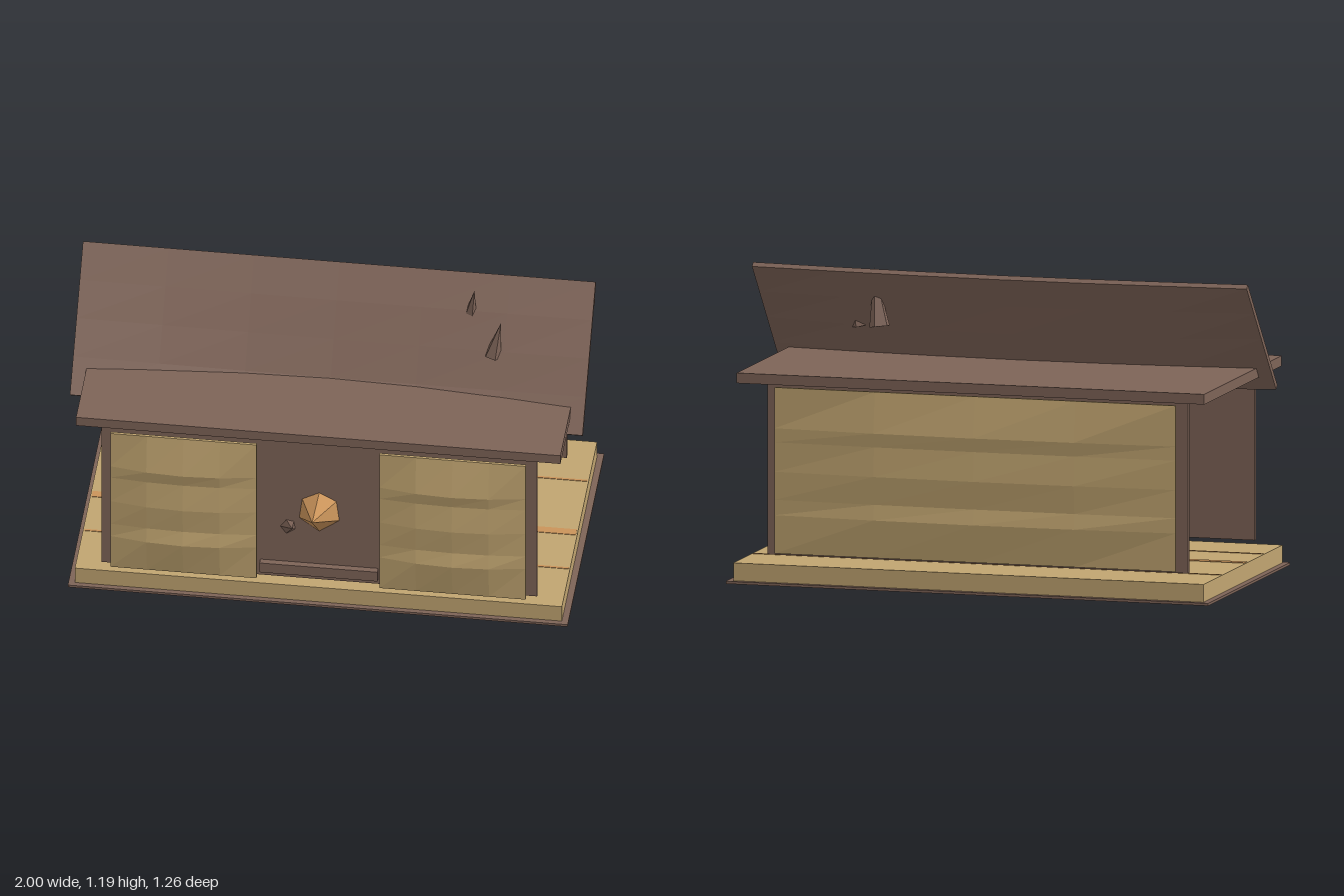
import * as THREE from 'three';

export function createModel() {
  const model = new THREE.Group();
  model.name = 'shelter';

  const mat = (name, color) => {
    const m = new THREE.MeshStandardMaterial({ color, flatShading: true });
    m.name = name;
    return m;
  };
  const brown = mat('dark wood', 0x7d6357);
  const tan = mat('straw', 0xc0a470);
  const orange = mat('orange wood', 0xc9935a);

  const add = (name, geo, material) => {
    const mesh = new THREE.Mesh(geo, material);
    mesh.name = name;
    model.add(mesh);
    return mesh;
  };

  // Box given by its extents on each axis
  const box = (name, material, [x0, x1], [y0, y1], [z0, z1]) => {
    const g = new THREE.BoxGeometry(x1 - x0, y1 - y0, z1 - z0);
    g.translate((x0 + x1) / 2, (y0 + y1) / 2, (z0 + z1) / 2);
    return add(name, g, material);
  };

  // Base, floor, walls and flat roof
  box('basePlate', brown, [-0.975, 0.975], [0, 0.01], [-0.63, 0.465]);
  box('floor', tan, [-0.95, 0.95], [0.01, 0.08], [-0.61, 0.445]);
  box('frontWall', brown, [-0.85, 0.85], [0.1, 0.77], [0.402, 0.418]);
  box('backWall', brown, [-0.85, 0.85], [0.1, 0.77], [-0.484, -0.468]);
  box('flatRoof', brown, [-0.945, 0.945], [0.78, 0.82], [-0.585, 0.45]);
  box('doorStep', brown, [-0.23, 0.23], [0.13, 0.175], [0.374, 0.443]);

  // Thin stripes on the floor
  for (const [z, w] of [[-0.03, 0.035], [0.2, 0.01], [-0.36, 0.01]]) {
    box('floorStripe', orange, [-0.945, 0.945], [0.08, 0.082], [z - w / 2, z + w / 2]);
  }

  // Wall panels with three soft horizontal swells, fading to the ends
  const rows = [0.11, 0.26, 0.32, 0.43, 0.545, 0.6, 0.76];
  const swell = [0, 0.03, 0.016, 0.028, 0.016, 0.03, 0];
  const columns = [0, 0.25, 0.5, 0.75, 1];
  const fade = [0, 0.75, 1, 0.75, 0];
  const panel = (name, width, x, z, back) => {
    const g = new THREE.BoxGeometry(1, 1, 1, columns.length - 1, rows.length - 1, 1);
    const p = g.attributes.position;
    for (let i = 0; i < p.count; i++) {
      const c = Math.round((p.getX(i) + 0.5) * (columns.length - 1));
      const r = Math.round((p.getY(i) + 0.5) * (rows.length - 1));
      const depth = p.getZ(i) > 0 ? 0.011 + swell[r] * fade[c] : 0;
      p.setXYZ(i, (columns[c] - 0.5) * width, rows[r], depth);
    }
    g.computeVertexNormals();
    const mesh = add(name, g, tan);
    mesh.position.set(x, 0, z);
    if (back) mesh.rotation.y = Math.PI;
  };
  panel('leftFrontPanel', 0.57, 0.525, 0.446);
  panel('rightFrontPanel', 0.57, -0.525, 0.446);
  panel('backPanel', 1.62, 0, -0.511, true);

  // Leaning roof sheet, bowed backwards in the middle
  const sheet = new THREE.BoxGeometry(2, 1, 0.022, 6, 4, 1);
  const bow = [0.035, 0.05, 0.035, 0.018, 0.01];
  const foot = new THREE.Vector2(0.203, 0.735), top = new THREE.Vector2(-0.19, 1.185);
  const along = top.clone().sub(foot).normalize();
  const sp = sheet.attributes.position;
  for (let i = 0; i < sp.count; i++) {
    const x = sp.getX(i), v = sp.getY(i) + 0.5;
    const n = sp.getZ(i) - bow[Math.round(v * 4)] * Math.cos(x * Math.PI / 2);
    sp.setXYZ(i, x,
      foot.y + (top.y - foot.y) * v - along.x * n,
      foot.x + (top.x - foot.x) * v + along.y * n);
  }
  sheet.computeVertexNormals();
  add('leaningRoof', sheet, brown);

  // Faceted spikes from a base centre to a tip
  const spike = (name, material, base, tip, radius, sides, spin = 0) => {
    const a = new THREE.Vector3(...base), b = new THREE.Vector3(...tip);
    const axis = b.clone().sub(a), h = axis.length();
    const g = new THREE.ConeGeometry(radius, h, sides);
    g.rotateY(spin);
    g.translate(0, h / 2, 0);
    const mesh = add(name, g, material);
    mesh.position.copy(a);
    mesh.quaternion.setFromUnitVectors(new THREE.Vector3(0, 1, 0), axis.normalize());
  };
  spike('doorSpike', orange, [0, 0.385, 0.29], [0, 0.54, 0.635], 0.132, 6);
  spike('smallDoorSpike', brown, [-0.135, 0.315, 0.36], [-0.093, 0.41, 0.515], 0.046, 5);
  spike('tallRoofSpike', brown, [0.508, 0.952, -0.115], [0.54, 1.178, -0.085], 0.042, 5, 0.4);
  spike('shortRoofSpike', brown, [0.622, 0.935, 0.0], [0.653, 1.087, -0.01], 0.034, 5, 0.4);

  return model;
}
